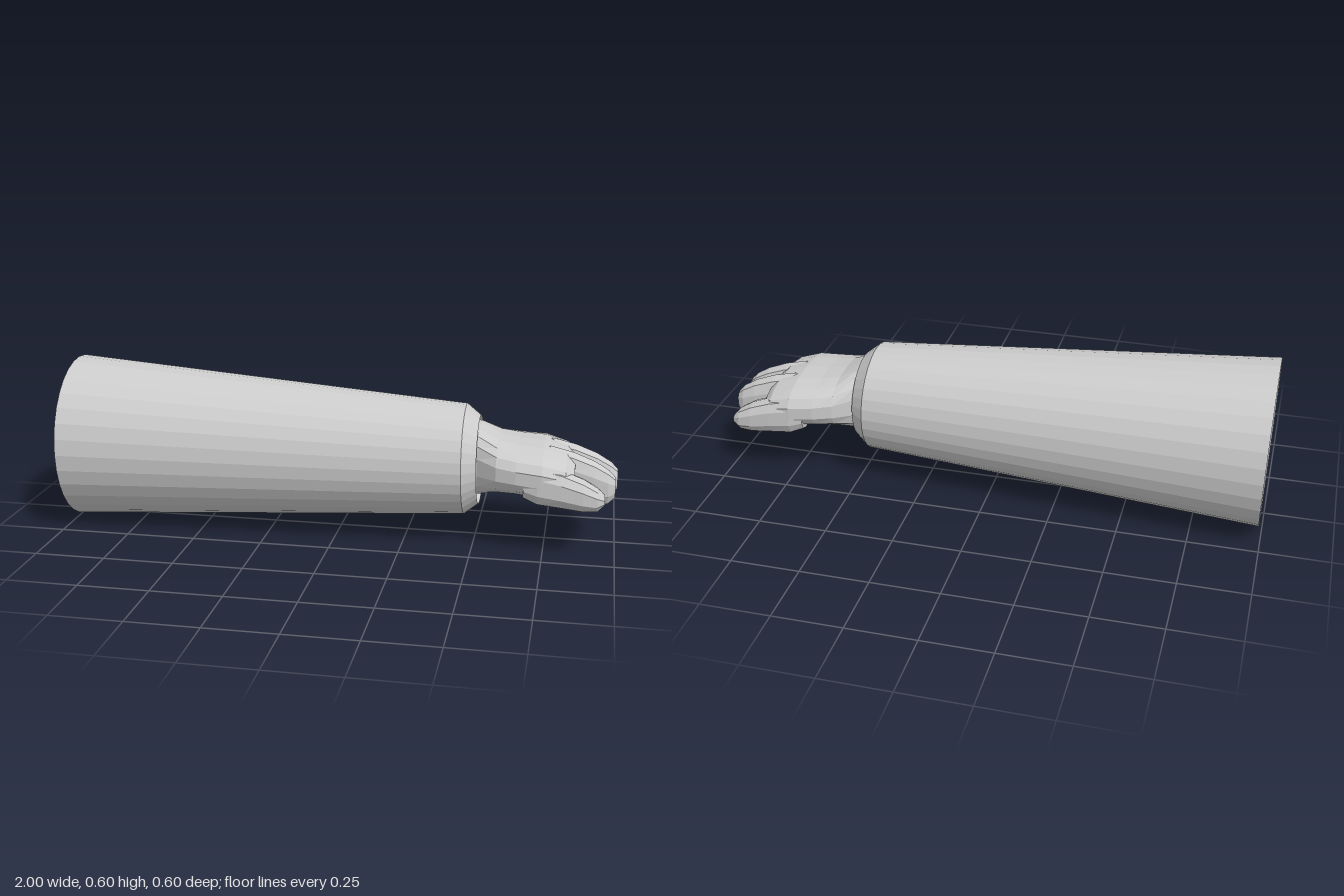
import * as THREE from 'three';

const material = new THREE.MeshStandardMaterial({ color: 0xcccccc, flatShading: true });

// Skins rounded cross-sections [x, bottom, top, zMin, zMax] along x and closes both ends
function loft(sections, sides, power) {
  const first = sections[0], last = sections[sections.length - 1];
  const point = ([x, b, t, z0, z1]) => {
    const y = (b + t) / 2, z = (z0 + z1) / 2;
    return [x, y, y, z, z];
  };
  const rings = [point(first), ...sections, point(last)];
  const positions = [], indices = [];
  for (const [x, b, t, z0, z1] of rings) {
    for (let j = 0; j < sides; j++) {
      const a = ((j + 0.5) / sides) * Math.PI * 2;
      const round = (v) => Math.sign(v) * Math.abs(v) ** power;
      positions.push(x, (b + t) / 2 + round(Math.sin(a)) * (t - b) / 2,
        (z0 + z1) / 2 + round(Math.cos(a)) * (z1 - z0) / 2);
    }
  }
  for (let i = 0; i < rings.length - 1; i++) {
    for (let j = 0; j < sides; j++) {
      const k = (j + 1) % sides;
      const a = i * sides + j, b = a + sides, c = (i + 1) * sides + k, d = i * sides + k;
      if (i > 0) indices.push(a, c, d);
      if (i < rings.length - 2) indices.push(a, b, c);
    }
  }
  const geometry = new THREE.BufferGeometry();
  geometry.setAttribute('position', new THREE.Float32BufferAttribute(positions, 3));
  geometry.setIndex(indices);
  const flat = geometry.toNonIndexed();
  flat.computeVertexNormals();
  return flat;
}

function addMesh(parent, name, geometry) {
  const mesh = new THREE.Mesh(geometry, material);
  mesh.name = name;
  parent.add(mesh);
  return mesh;
}

export function createModel() {
  const model = new THREE.Group();
  model.name = 'arm';

  // Tapered sleeve with a bevelled cuff and a shallow opening for the wrist
  const profile = [[0, -0.995], [0.3, -0.995], [0.2, 0.46], [0.16, 0.51], [0.145, 0.44], [0, 0.44]]
    .map(([r, x]) => new THREE.Vector2(r, x));
  const sleeve = new THREE.LatheGeometry(profile, 32).rotateZ(-Math.PI / 2);
  const p = sleeve.attributes.position;
  for (let i = 0; i < p.count; i++) {
    // The axis sinks and drifts slightly towards the cuff
    const x = p.getX(i), y = p.getY(i), along = (x + 0.995) / 1.455;
    p.setXYZ(i, x - y * 0.018, y + 0.3 - 0.0125 * along, p.getZ(i) + 0.01 * along);
  }
  const sleeveFlat = sleeve.toNonIndexed();
  sleeveFlat.computeVertexNormals();
  addMesh(model, 'sleeve', sleeveFlat);

  const hand = new THREE.Group();
  hand.name = 'hand';
  model.add(hand);

  // Wrist and palm
  addMesh(hand, 'palm', loft([
    [0.42, 0.17, 0.43, -0.12, 0.14],
    [0.51, 0.17, 0.424, -0.13, 0.15],
    [0.58, 0.193, 0.39, -0.175, 0.2],
    [0.65, 0.195, 0.378, -0.196, 0.218],
    [0.74, 0.185, 0.372, -0.206, 0.224],
    [0.82, 0.18, 0.347, -0.195, 0.21],
    [0.85, 0.21, 0.32, -0.16, 0.175],
  ], 18, 0.8));

  // Fingers: centre z, tip x, drop of the top edge, half width
  const fingers = [
    ['littleFinger', -0.153, 0.972, 0.035, 0.053],
    ['ringFinger', -0.044, 1.0, 0, 0.048],
    ['middleFinger', 0.058, 0.992, 0, 0.048],
    ['indexFinger', 0.168, 0.957, 0.035, 0.056],
  ];
  for (const [name, z, tip, drop, w] of fingers) {
    // Distance back from the tip, bottom, top, width factor
    const sections = [
      [0.28, 0.195, 0.355, 0.8],
      [0.23, 0.172, 0.366, 0.98],
      [0.15, 0.165, 0.347, 1],
      [0.075, 0.158, 0.318, 0.97],
      [0.025, 0.162, 0.288, 0.84],
      [0, 0.187, 0.262, 0.55],
    ].map(([back, b, t, s]) =>
      [tip - back, b + drop * 0.3, t - drop, z - w * s, z + w * s]);
    addMesh(hand, name, loft(sections, 10, 0.8));
  }
  return model;
}
